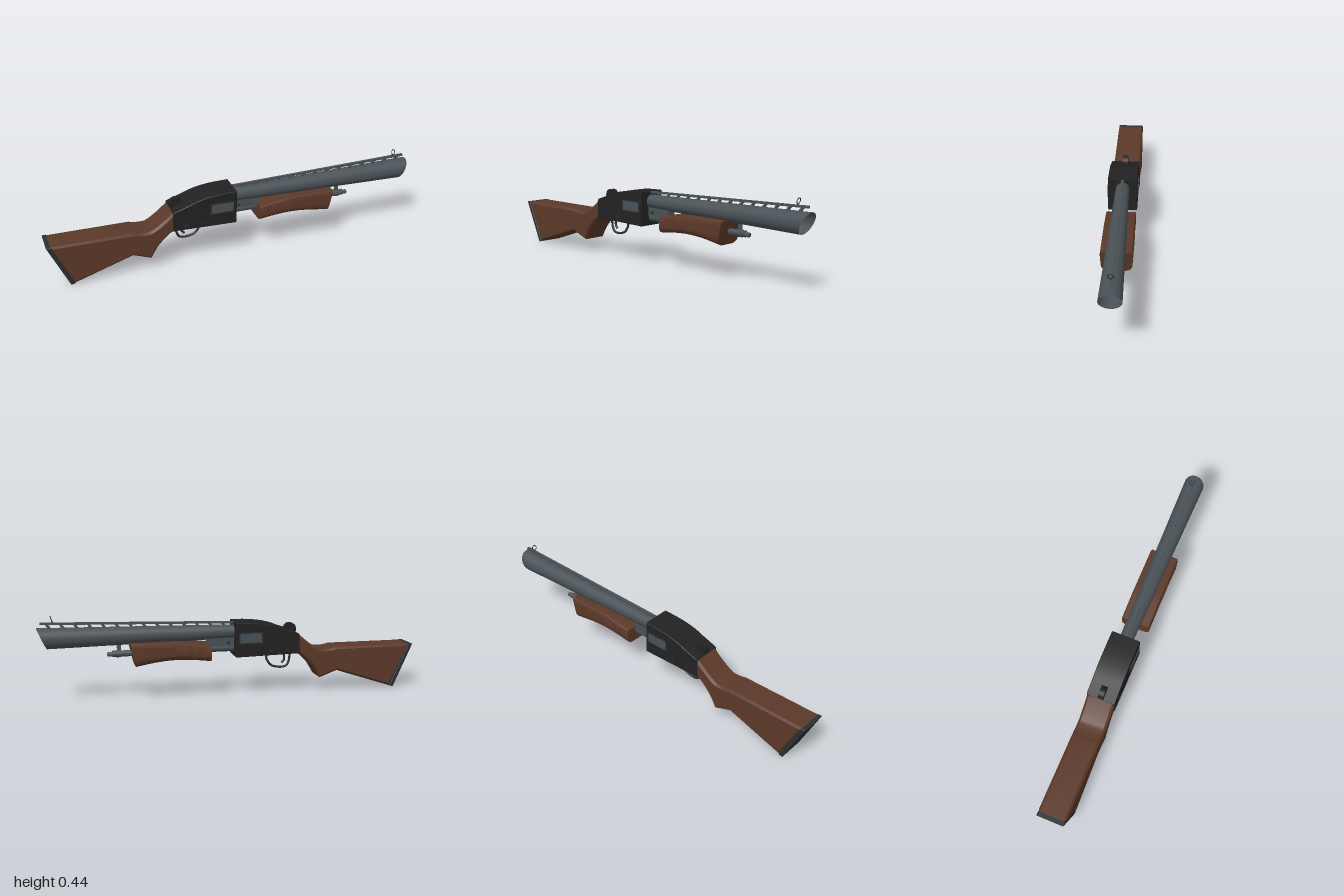
import * as THREE from 'three';
import { toCreasedNormals } from 'three/addons/utils/BufferGeometryUtils.js';

const mat = (name, color, side = THREE.FrontSide) => {
  const m = new THREE.MeshStandardMaterial({ color, side });
  m.name = name;
  return m;
};

export function createModel() {
  const wood = mat('walnut', 0x5c3929);
  const black = mat('blackMetal', 0x222222);
  const steel = mat('gunSteel', 0x4a5257, THREE.DoubleSide);
  const trim = mat('darkTrim', 0x2a2f32);
  const model = new THREE.Group();
  model.name = 'pumpShotgun';

  const add = (name, geo, material, x = 0, y = 0, z = 0, parent = model) => {
    const mesh = new THREE.Mesh(geo, material);
    mesh.name = name;
    mesh.position.set(x, y, z);
    parent.add(mesh);
    return mesh;
  };
  // Side outline extruded across z, centred, total width 2 * half
  const slab = (pts, half, bevel = 0) => {
    const shape = Array.isArray(pts) ? new THREE.Shape(pts.map(p => new THREE.Vector2(...p))) : pts;
    const g = new THREE.ExtrudeGeometry(shape, {
      depth: 2 * (half - bevel), bevelEnabled: bevel > 0, bevelSize: bevel,
      bevelThickness: bevel, bevelOffset: -bevel, bevelSegments: 1, curveSegments: 8
    });
    g.translate(0, 0, -(half - bevel));
    return toCreasedNormals(g, 0.5);
  };
  const rod = (r0, r1, len, open = false, seg = 20) =>
    new THREE.CylinderGeometry(r1, r0, len, seg, 1, open).rotateZ(-Math.PI / 2);

  // Shoulder stock with grip
  const stock = new THREE.Shape();
  stock.moveTo(-0.98, 0.235);
  stock.lineTo(-0.875, 0.008);
  stock.lineTo(-0.57, 0.108);
  stock.lineTo(-0.475, 0.073);
  stock.quadraticCurveTo(-0.44, 0.14, -0.42, 0.155);
  stock.quadraticCurveTo(-0.38, 0.2, -0.345, 0.212);
  stock.lineTo(-0.35, 0.317);
  stock.quadraticCurveTo(-0.43, 0.245, -0.475, 0.227);
  stock.quadraticCurveTo(-0.52, 0.222, -0.56, 0.235);
  add('stock', slab(stock, 0.074, 0.011), wood);
  add('buttPlate', slab([[-1, 0.235], [-0.895, 0.003], [-0.873, 0.008], [-0.977, 0.235]], 0.073, 0.004), trim);

  // Receiver and its side details
  const body = new THREE.Shape();
  body.moveTo(-0.36, 0.212);
  body.lineTo(-0.015, 0.204);
  body.lineTo(-0.015, 0.384);
  body.lineTo(-0.08, 0.383);
  body.quadraticCurveTo(-0.2, 0.378, -0.27, 0.345);
  body.lineTo(-0.355, 0.316);
  add('receiver', slab(body, 0.077, 0.003), black);
  for (const s of [1, -1]) {
    add('ejectionPortFrame', new THREE.BoxGeometry(0.13, 0.062, 0.006), trim, -0.093, 0.304, s * 0.0765);
    add('ejectionPort', new THREE.BoxGeometry(0.115, 0.048, 0.008), steel, -0.093, 0.304, s * 0.077);
    for (const [x, y] of [[-0.29, 0.235], [-0.2, 0.232]])
      add('receiverPin', new THREE.CylinderGeometry(0.007, 0.007, 0.006, 12).rotateX(Math.PI / 2), trim, x, y, s * 0.077);
  }
  add('safetyCatch', new THREE.CylinderGeometry(0.034, 0.034, 0.03, 20).rotateX(Math.PI / 2), black, -0.322, 0.333);

  // Trigger and guard
  const tube = (pts, r) => new THREE.TubeGeometry(
    new THREE.CatmullRomCurve3(pts.map(([x, y]) => new THREE.Vector3(x, y, 0))), 28, r, 8);
  add('triggerGuard', tube([[-0.325, 0.212], [-0.322, 0.165], [-0.308, 0.135], [-0.28, 0.127],
    [-0.225, 0.138], [-0.205, 0.16], [-0.195, 0.185], [-0.21, 0.212]], 0.006), trim);
  add('trigger', tube([[-0.285, 0.212], [-0.295, 0.185], [-0.293, 0.165], [-0.28, 0.15]], 0.006), trim);
  add('guardBase', new THREE.BoxGeometry(0.15, 0.012, 0.03), black, -0.26, 0.206);

  // Open flared barrel with a slanted muzzle
  const barrelGeo = rod(0.036, 0.054, 0.985, true, 32);
  const bp = barrelGeo.attributes.position;
  for (let i = 0; i < bp.count; i++)
    if (bp.getX(i) > 0) bp.setX(i, bp.getX(i) + 0.47 * bp.getY(i));
  add('barrel', barrelGeo, steel, 0.4775, 0.331);

  // Ventilated rib on slanted struts
  const ribY = x => 0.379 + 0.026 * x;
  add('sightRib', slab([[-0.015, ribY(0) - 0.005], [0.978, ribY(0.978) - 0.003], [0.975, ribY(0.975) + 0.008], [-0.015, ribY(0) + 0.006]], 0.007), steel);
  const rib = new THREE.Group();
  rib.name = 'ribStruts';
  model.add(rib);
  for (let i = 0; i < 14; i++) {
    const x = 0.02 + i * 0.069, top = ribY(x), base = 0.36 + 0.018 * x;
    add('strut', slab([[x, base], [x + 0.016, base], [x + 0.036, top], [x + 0.02, top]], 0.005), steel, 0, 0, 0, rib);
  }

  // Ring sight
  const ring = add('ringSight', new THREE.TorusGeometry(0.0135, 0.002, 8, 24).rotateY(Math.PI / 2), trim, 0.92, 0.43);
  ring.rotation.z = -0.27;
  const post = add('sightPost', new THREE.CylinderGeometry(0.003, 0.004, 0.018, 8), trim, 0.914, 0.41);
  post.rotation.z = -0.27;

  // Magazine tube, bracket and end cap
  add('magazineTube', rod(0.021, 0.021, 0.3), steel, 0.13, 0.246);
  add('tubeBridge', new THREE.BoxGeometry(0.15, 0.05, 0.044), steel, 0.055, 0.28);
  for (const s of [1, -1])
    add('bridgePin', new THREE.CylinderGeometry(0.008, 0.008, 0.006, 12).rotateX(Math.PI / 2), trim, 0.015, 0.275, s * 0.023);
  add('magazineEnd', rod(0.016, 0.016, 0.18), steel, 0.53, 0.238);
  add('endCollar', rod(0.019, 0.019, 0.025), steel, 0.587, 0.238);
  add('endCap', rod(0.013, 0.011, 0.03), steel, 0.63, 0.236);
  add('tubeBracket', new THREE.BoxGeometry(0.022, 0.05, 0.006), steel, 0.585, 0.268);

  // Sliding fore-end: U section stretched between top and bottom curves
  const w = 0.077, h = 0.125, r = 0.045, t = 0.012;
  const u = new THREE.Shape();
  u.moveTo(-w, r);
  u.quadraticCurveTo(-w, 0, -w + r, 0);
  u.lineTo(w - r, 0);
  u.quadraticCurveTo(w, 0, w, r);
  u.lineTo(w, h - t);
  u.quadraticCurveTo(w, h, w - t, h);
  u.lineTo(-w + t, h);
  u.quadraticCurveTo(-w, h, -w, h - t);
  const fore = new THREE.ExtrudeGeometry(u, { depth: 1, steps: 16, bevelEnabled: false, curveSegments: 8 });
  fore.rotateY(Math.PI / 2);
  const fp = fore.attributes.position;
  for (let i = 0; i < fp.count; i++) {
    const k = fp.getX(i), v = fp.getY(i) / h;
    const top = 0.27 + 0.025 * Math.min(1, k / 0.4);
    const bottom = 0.185 - 0.013 * k + 0.02 * Math.sin(Math.PI * k);
    fp.setXYZ(i, 0.115 + k * (0.39 + 0.028 * v), bottom + (top - bottom) * v, fp.getZ(i));
  }
  add('foreEnd', toCreasedNormals(fore, 0.6), wood);
  for (const s of [1, -1])
    add('foreEndPanel', slab([[0.3, 0.24], [0.515, 0.247], [0.523, 0.278], [0.3, 0.272]], 0.003), wood, 0, 0, s * 0.076);

  return model;
}
